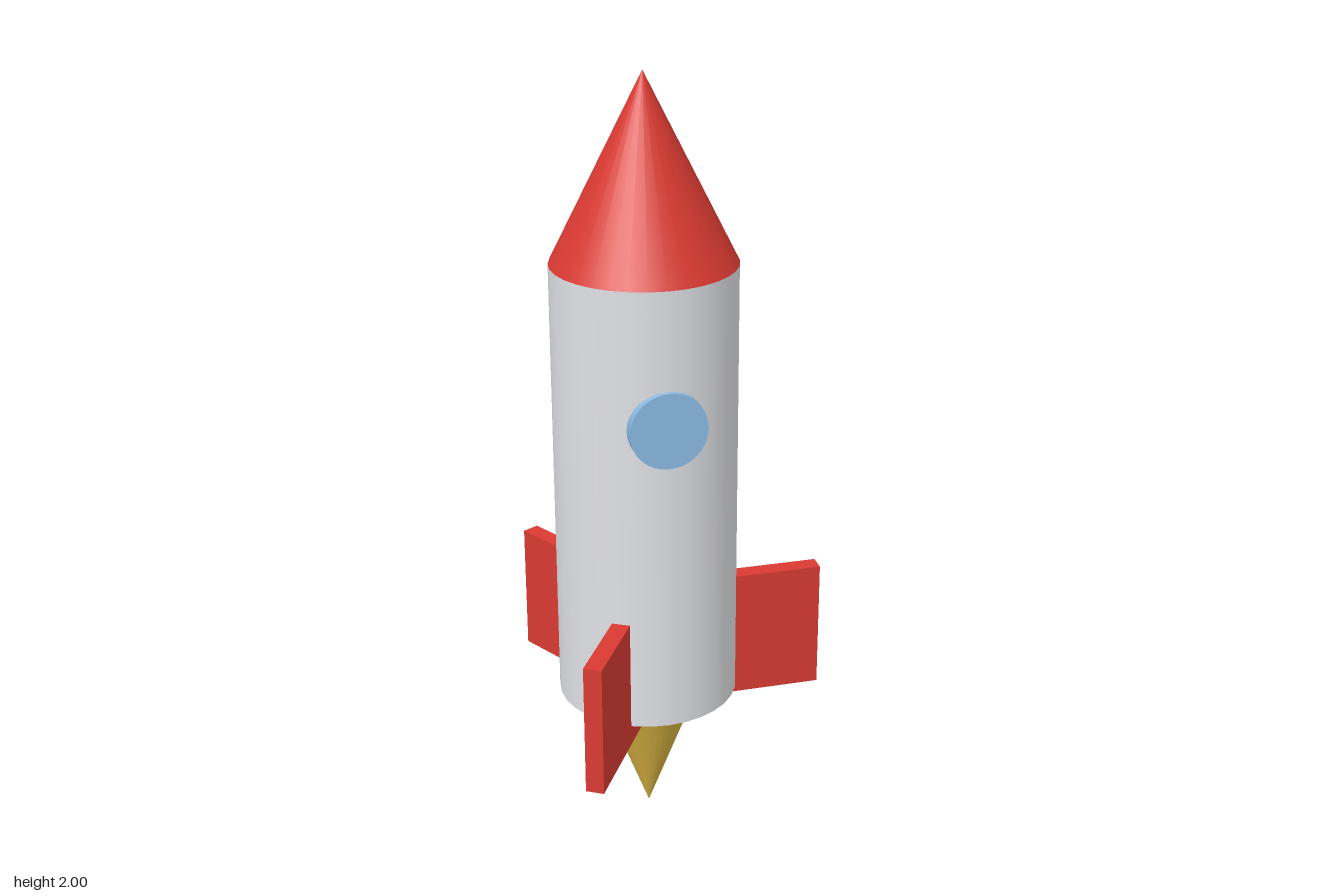
import * as THREE from 'three';

const AXIS_X = -0.107; // the three fins make the bounds lopsided in x
const R = 0.2325;      // hull radius
const SEGMENTS = 32;

function material(name, color) {
  const m = new THREE.MeshStandardMaterial({ color });
  m.name = name;
  return m;
}

export function createModel() {
  const red = material('red', 0xd93a32);
  const white = material('white', 0xe0e1e5);
  const gold = material('gold', 0xdcb643);
  const blue = material('blue', 0x8abbe2);

  const model = new THREE.Group();
  model.name = 'rocket';

  function add(name, geometry, mat, x, y, z, parent = model) {
    const mesh = new THREE.Mesh(geometry, mat);
    mesh.name = name;
    mesh.position.set(x, y, z);
    parent.add(mesh);
    return mesh;
  }

  // Hull, nose and exhaust flame share one axis
  const bottom = 1.6 * R, top = 6.6 * R;
  add('hull', new THREE.CylinderGeometry(R, R, 5 * R, SEGMENTS), white, AXIS_X, (bottom + top) / 2, 0);
  add('noseCone', new THREE.ConeGeometry(R, 2 * R, SEGMENTS), red, AXIS_X, top + R, 0);
  const flame = add('flame', new THREE.ConeGeometry(0.6 * R, bottom, SEGMENTS), gold, AXIS_X, bottom / 2, 0);
  flame.rotation.x = Math.PI;

  // Round window, a short disc set into the front of the hull
  const porthole = add('window', new THREE.CylinderGeometry(0.097, 0.097, 0.046, SEGMENTS), blue, AXIS_X, 1.188, 0.221);
  porthole.rotation.x = Math.PI / 2;

  // Three plate fins, starting inside the hull and dropping below its base
  const finGeometry = new THREE.BoxGeometry(1.5 * R, 0.345, 0.0465);
  for (let i = 0; i < 3; i++) {
    const fin = new THREE.Group();
    fin.name = 'fin' + (i + 1);
    fin.position.x = AXIS_X;
    fin.rotation.y = (i * Math.PI * 2) / 3;
    add('finPlate', finGeometry, red, 1.25 * R, 0.49, 0, fin);
    model.add(fin);
  }

  return model;
}
